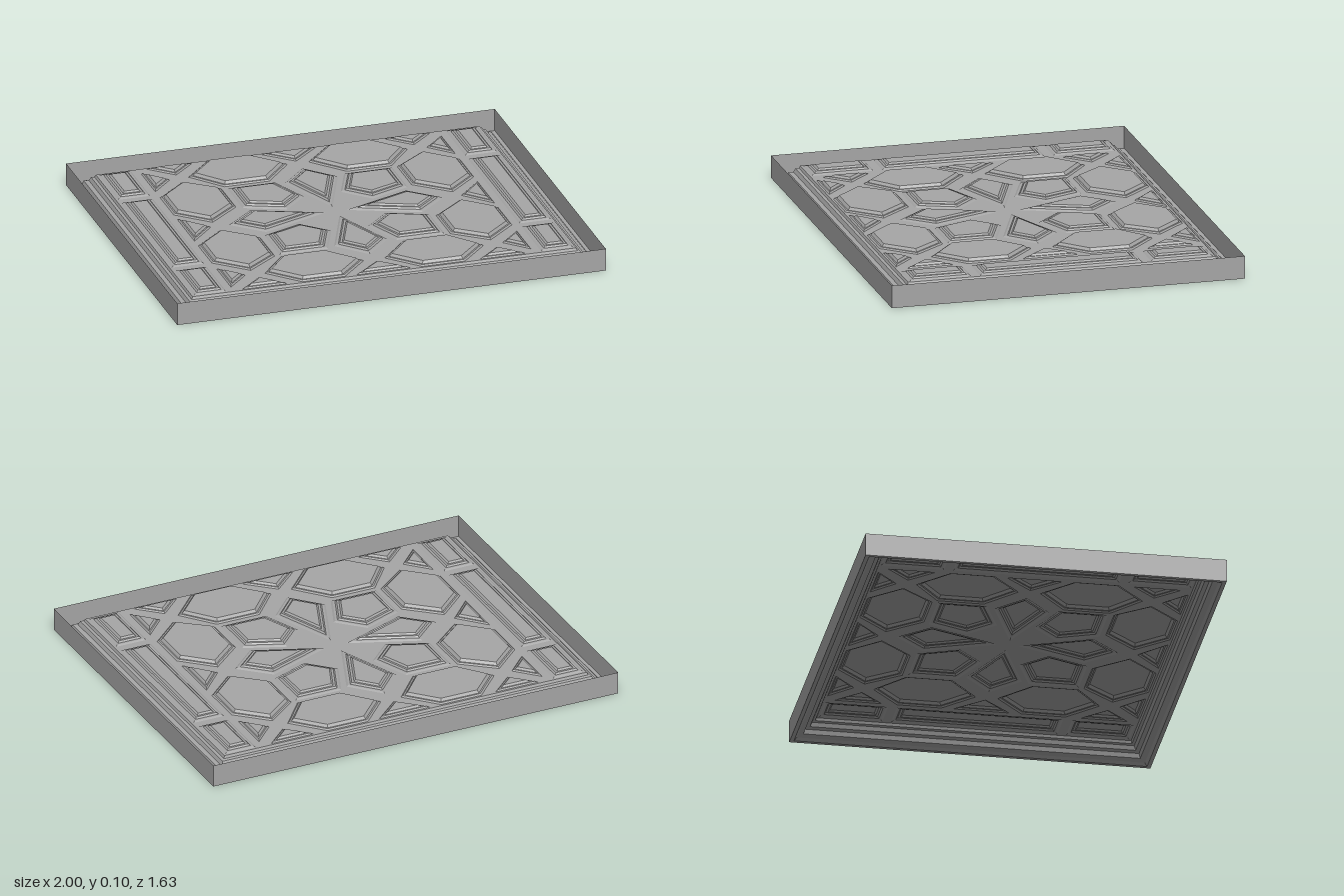
import * as THREE from 'three';

const plaster = new THREE.MeshStandardMaterial({ color: 0xa6a6a6, side: THREE.DoubleSide });
plaster.name = 'grey plaster';

const RIB_Y = 0.08;

// Moves every edge of a convex polygon inward by d, keeping mitred corners.
function inset(poly, d) {
  return poly.map((p, i) => {
    const a = poly[(i + poly.length - 1) % poly.length];
    const b = poly[(i + 1) % poly.length];
    const e1 = p.clone().sub(a).normalize();
    const e2 = b.clone().sub(p).normalize();
    const n1 = new THREE.Vector2(-e1.y, e1.x);
    const n2 = new THREE.Vector2(-e2.y, e2.x);
    const m = n1.clone().add(n2);
    return p.clone().addScaledVector(m, d / (1 + n1.dot(n2)));
  });
}

function polygon(points) {
  const poly = points.map(([x, z]) => new THREE.Vector2(x, z));
  return THREE.ShapeUtils.area(poly) < 0 ? poly.reverse() : poly;
}

// Sweeps a moulding profile of [inset, height] steps round a polygon.
function moulding(poly, profile, capped) {
  const rings = profile.map(([d, y]) =>
    inset(poly, d).map((p) => new THREE.Vector3(p.x, y, p.y)));
  const points = [];
  const n = poly.length;
  for (let r = 0; r < rings.length - 1; r++) {
    for (let i = 0; i < n; i++) {
      const j = (i + 1) % n;
      const [a, b, c, d] = [rings[r][i], rings[r][j], rings[r + 1][j], rings[r + 1][i]];
      points.push(a, c, b, a, d, c);
    }
  }
  if (capped) {
    const last = rings[rings.length - 1];
    const centre = new THREE.Vector3();
    last.forEach((p) => centre.addScaledVector(p, 1 / n));
    last.forEach((p, i) => points.push(p, centre, last[(i + 1) % n]));
  }
  const geometry = new THREE.BufferGeometry().setFromPoints(points);
  geometry.computeVertexNormals();
  return geometry;
}

// Moulding profiles: height is measured from the ribs
const plain = [[0, 0], [0.007, 0.006], [0.014, 0.006], [0.024, 0.018]];
const rich = [[0, 0], [0.008, 0.005], [0.018, 0.005], [0.025, 0.012], [0.035, 0.012], [0.043, 0.019]];
const small = [[0, 0], [0.006, 0.006], [0.012, 0.006], [0.02, 0.015]];

// One cell of each kind; the rest are mirrored
const swap = (points) => points.map(([x, z]) => [z, x]);
const hexagon = [[0.56, 0.51], [0.41, 0.39], [0.41, 0.18], [0.56, 0.05], [0.7, 0.18], [0.7, 0.38]];
const kite = [[0, 0.5], [0.125, 0.365], [0, 0.05], [-0.125, 0.365]];
const edgeTriangle = [[-0.125, 0.7], [0.125, 0.7], [0, 0.585]];
const cornerTriangle = [[0.45, 0.7], [0.66, 0.7], [0.555, 0.6]];
const cells = [
  ['hexagonPanel', hexagon, plain, 1, 1],
  ['hexagonPanel', swap(hexagon), plain, 1, 1],
  ['starKite', kite, rich, 0, 1],
  ['starKite', swap(kite), rich, 1, 0],
  ['cornerPentagon', [[0.385, 0.385], [0.16, 0.385], [0.085, 0.2], [0.2, 0.085], [0.385, 0.16]], rich, 1, 1],
  ['edgeTriangle', edgeTriangle, small, 0, 1],
  ['edgeTriangle', swap(edgeTriangle), small, 1, 0],
  ['cornerTriangle', cornerTriangle, small, 1, 1],
  ['cornerTriangle', swap(cornerTriangle), small, 1, 1],
  ['sidePanelLong', [[0.735, -0.375], [0.885, -0.375], [0.885, 0.375], [0.735, 0.375]], rich, 1, 0],
  ['sidePanelShort', [[0.735, 0.415], [0.885, 0.415], [0.885, 0.7], [0.735, 0.7]], rich, 1, 1],
];

export function createModel() {
  const model = new THREE.Group();
  model.name = 'cofferedCeilingPanel';
  const add = (name, geometry) => {
    const mesh = new THREE.Mesh(geometry, plaster);
    mesh.name = name;
    model.add(mesh);
  };

  const outline = polygon([[-1, -0.815], [1, -0.815], [1, 0.815], [-1, 0.815]]);

  // Upright outer wall, then the stepped frame rising inward from its foot
  add('outerWall', moulding(outline, [[0, 0.105], [0, 0]], false));
  add('steppedFrame', moulding(outline, [[0, 0], [0.018, 0], [0.03, 0.012], [0.055, 0.02],
    [0.062, 0.04], [0.08, 0.046], [0.088, 0.064], [0.1, 0.068], [0.105, RIB_Y]], false));

  // Flat ribs with an opening for every cell
  const ribs = new THREE.Shape(inset(outline, 0.105));
  for (const [name, points, profile, mirrorX, mirrorZ] of cells) {
    for (const sx of mirrorX ? [1, -1] : [1]) {
      for (const sz of mirrorZ ? [1, -1] : [1]) {
        const poly = polygon(points.map(([x, z]) => [x * sx, z * sz]));
        ribs.holes.push(new THREE.Path(poly));
        add(name, moulding(poly, profile.map(([d, y]) => [d, RIB_Y + y]), true));
      }
    }
  }
  add('ribs', new THREE.ShapeGeometry(ribs).rotateX(Math.PI / 2).translate(0, RIB_Y, 0));

  return model;
}
